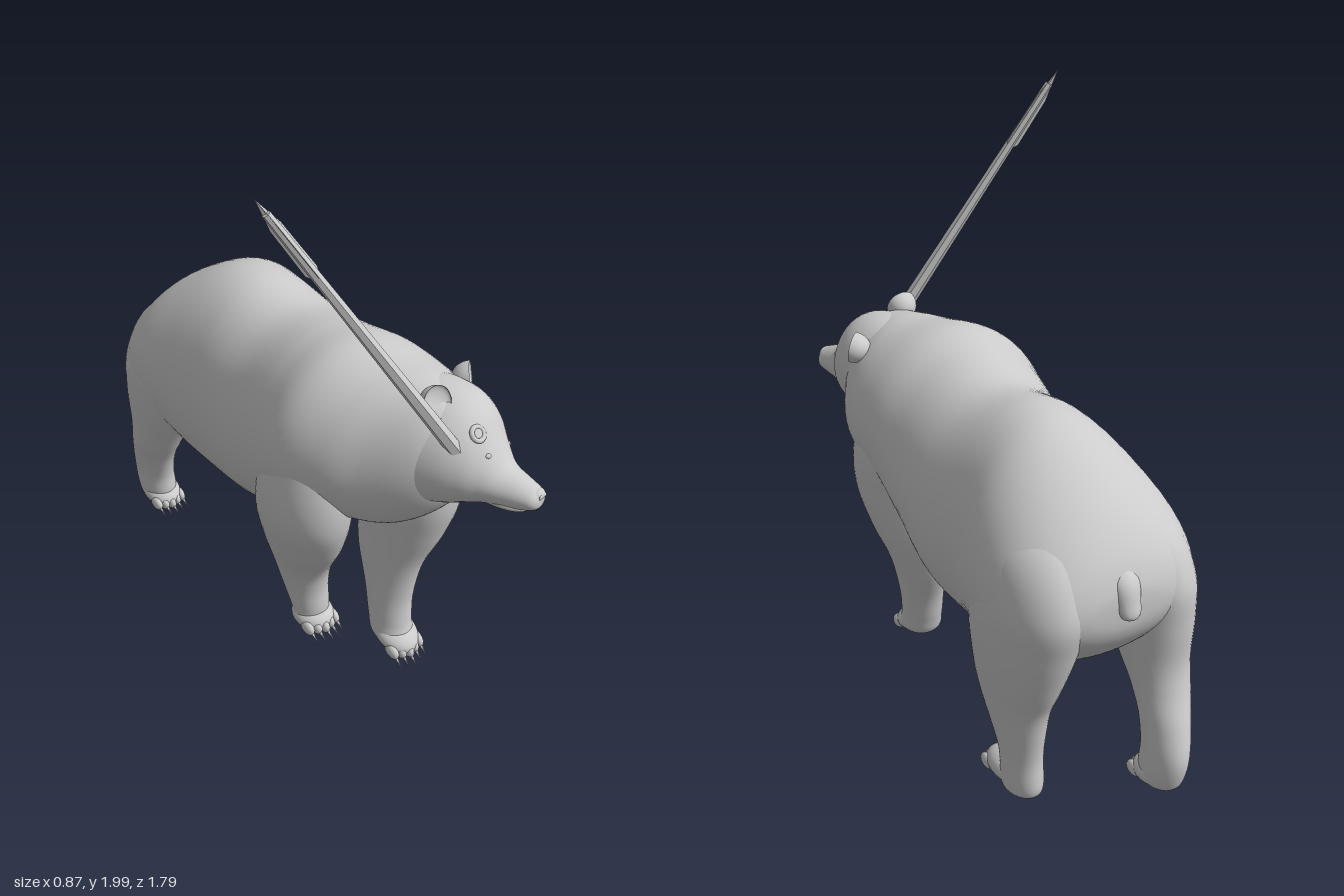
import * as THREE from 'three';

const grey = new THREE.MeshStandardMaterial({ color: 0xcccccc });
const greyThin = new THREE.MeshStandardMaterial({ color: 0xcccccc, side: THREE.DoubleSide });

function add(parent, name, geometry, material = grey) {
  const mesh = new THREE.Mesh(geometry, material);
  mesh.name = name;
  parent.add(mesh);
  return mesh;
}

// Smooth skin through oval sections [along, centreX, centreOther, radiusX, radiusOther].
// axis 'z': sections upright, listed back to front. axis 'y': sections flat, listed top to bottom.
function loft(sections, axis, egg = 0, rows = 60, cols = 48) {
  const curve = (f) => new THREE.CatmullRomCurve3(sections.map(f), false, 'catmullrom', 0.5);
  const centres = curve((s) => new THREE.Vector3(s[0], s[1], s[2]));
  const radii = curve((s) => new THREE.Vector3(s[3], s[4], 0));
  const pos = [], index = [];
  for (let i = 0; i <= rows; i++) {
    const c = centres.getPoint(i / rows), r = radii.getPoint(i / rows);
    for (let j = 0; j < cols; j++) {
      const a = (j / cols) * Math.PI * 2;
      const x = c.y + Math.max(r.x, 0.001) * Math.cos(a) * (1 - egg * Math.sin(a));
      const o = c.z + Math.max(r.y, 0.001) * Math.sin(a);
      if (axis === 'z') pos.push(x, o, c.x);
      else pos.push(x, c.x, o);
      if (i < rows) {
        const p = i * cols + j, q = i * cols + ((j + 1) % cols);
        index.push(p, q, p + cols, q, q + cols, p + cols);
      }
    }
  }
  const g = new THREE.BufferGeometry();
  g.setAttribute('position', new THREE.Float32BufferAttribute(pos, 3));
  g.setIndex(index);
  g.computeVertexNormals();
  return g;
}

// Same skin from extents [z, left, right, bottom, top]
const span = (list) => list.map(([z, a, b, c, d]) =>
  [z, (a + b) / 2, (c + d) / 2, (b - a) / 2, (d - c) / 2]);

function ball(parent, name, [x, y, z], [rx, ry, rz], seg = 20) {
  const mesh = add(parent, name, new THREE.SphereGeometry(1, seg, seg * 0.7 | 0).scale(rx, ry, rz));
  mesh.position.set(x, y, z);
  return mesh;
}

// Paw with five toes and claws, toes towards +z
function paw(parent, name, [x, y, z], w, l, pitch) {
  const g = new THREE.Group();
  g.name = name;
  g.position.set(x, y, z);
  g.rotation.x = pitch;
  ball(g, 'pad', [0, 0, 0], [w, 0.047, l], 28);
  for (let i = -2; i <= 2; i++) {
    const tx = i * w * 0.37, tz = l * 0.78 - Math.abs(i) * 0.009;
    ball(g, 'toe', [tx, -0.01, tz], [w * 0.24, 0.026, 0.036], 14);
    const claw = add(g, 'claw', new THREE.ConeGeometry(0.007, 0.05, 8));
    claw.position.set(tx, -0.02, tz + 0.045);
    claw.rotation.x = Math.PI / 2 + 0.35;
  }
  parent.add(g);
}

function buildHead() {
  const head = new THREE.Group();
  head.name = 'head';
  head.position.set(0.18, 1.05, 0.52);
  head.rotation.set(0, 0.35, -0.25, 'YXZ');
  add(head, 'skull', loft(span([
    [-0.21, -0.01, 0.01, -0.03, 0.01], [-0.18, -0.1, 0.1, -0.14, 0.11], [-0.1, -0.168, 0.168, -0.22, 0.16],
    [0, -0.18, 0.18, -0.235, 0.18], [0.1, -0.165, 0.165, -0.205, 0.168], [0.17, -0.135, 0.135, -0.178, 0.125],
    [0.22, -0.1, 0.1, -0.16, 0.055], [0.27, -0.073, 0.073, -0.15, -0.01], [0.33, -0.057, 0.057, -0.14, -0.038],
    [0.37, -0.047, 0.047, -0.128, -0.055], [0.387, -0.028, 0.028, -0.115, -0.07], [0.39, 0, 0, -0.095, -0.095],
  ]), 'z', 0.08));
  ball(head, 'lowerJaw', [0, -0.134, 0.26], [0.05, 0.024, 0.095]);
  ball(head, 'nose', [0, -0.075, 0.372], [0.029, 0.02, 0.021]);
  for (const s of [-1, 1]) {
    ball(head, 'eye', [s * 0.066, 0.012, 0.217], [0.013, 0.01, 0.012], 14);
    ball(head, 'nostril', [s * 0.015, -0.077, 0.388], [0.007, 0.008, 0.004], 10);
    // Cupped ear: the front half of a flattened ball is pushed inwards
    const shape = new THREE.SphereGeometry(1, 28, 20).scale(0.052, 0.052, 0.062);
    const p = shape.attributes.position;
    for (let i = 0; i < p.count; i++) if (p.getZ(i) > 0) p.setZ(i, p.getZ(i) * -0.3);
    shape.computeVertexNormals();
    const ear = add(head, 'ear', shape, greyThin);
    ear.position.set(s * 0.136, 0.147, 0.043 - s * 0.015);
    ear.rotation.set(-0.3, s * 0.4, -s * 0.5);
  }
  return head;
}

// Shaft with three thin vanes, driven into the forehead
function buildArrow() {
  const tip = new THREE.Vector3(-0.44, 2, 0.48), base = new THREE.Vector3(0.125, 1.09, 0.69);
  const length = tip.distanceTo(base);
  const arrow = new THREE.Group();
  arrow.name = 'arrow';
  arrow.position.copy(base);
  arrow.quaternion.setFromUnitVectors(new THREE.Vector3(0, 1, 0), tip.clone().sub(base).normalize());
  const shaft = new THREE.CylinderGeometry(0.013, 0.025, length * 0.95, 6).toNonIndexed();
  shaft.computeVertexNormals();
  add(arrow, 'shaft', shaft).position.y = length * 0.475;
  const vane = new THREE.Shape([[0, 0.7], [0.025, 0.74], [0.022, 0.9], [0, 1]]
    .map(([x, t]) => new THREE.Vector2(x, t * length)));
  for (let i = 0; i < 3; i++) {
    add(arrow, 'vane', new THREE.ShapeGeometry(vane), greyThin).rotation.y = (i * Math.PI * 2) / 3 + 0.4;
  }
  return arrow;
}

export function createModel() {
  const bear = new THREE.Group();
  bear.name = 'bear';

  // Trunk and neck
  add(bear, 'body', loft(span([
    [-0.832, 0.09, 0.11, 0.8, 0.82], [-0.822, -0.05, 0.24, 0.72, 0.875], [-0.785, -0.145, 0.33, 0.65, 0.955],
    [-0.71, -0.205, 0.39, 0.57, 1.045], [-0.6, -0.23, 0.425, 0.5, 1.13], [-0.45, -0.215, 0.425, 0.435, 1.213],
    [-0.3, -0.2, 0.405, 0.415, 1.235], [-0.1, -0.2, 0.42, 0.44, 1.205], [0.1, -0.22, 0.41, 0.53, 1.243],
    [0.25, -0.23, 0.415, 0.63, 1.27], [0.4, -0.17, 0.415, 0.68, 1.248], [0.5, -0.095, 0.385, 0.705, 1.237],
    [0.6, -0.01, 0.325, 0.8, 1.21], [0.65, 0.06, 0.27, 0.9, 1.14], [0.67, 0.16, 0.17, 1.02, 1.04],
  ]), 'z', 0.09, 90, 64));

  // Legs: [y, x, z, half width, half depth]; the tops lean in and fade into the trunk
  const legs = {
    frontLeftLeg: [[1.16, 0.22, 0.28, 0, 0], [1.02, 0.25, 0.29, 0.115, 0.14], [0.86, 0.268, 0.32, 0.143, 0.193],
      [0.7, 0.265, 0.335, 0.145, 0.195], [0.55, 0.25, 0.315, 0.124, 0.18], [0.4, 0.222, 0.3, 0.095, 0.14],
      [0.25, 0.205, 0.32, 0.076, 0.098], [0.14, 0.197, 0.34, 0.07, 0.085], [0.07, 0.195, 0.36, 0.066, 0.075],
      [0.045, 0.195, 0.36, 0, 0]],
    frontRightLeg: [[1.16, -0.01, 0.23, 0, 0], [1.02, -0.055, 0.235, 0.115, 0.13], [0.86, -0.095, 0.245, 0.135, 0.18],
      [0.7, -0.108, 0.24, 0.139, 0.187], [0.55, -0.085, 0.205, 0.12, 0.165], [0.4, -0.055, 0.165, 0.095, 0.115],
      [0.3, -0.045, 0.165, 0.078, 0.088], [0.2, -0.037, 0.185, 0.066, 0.068], [0.15, -0.035, 0.19, 0.06, 0.055],
      [0.12, -0.035, 0.19, 0, 0]],
    hindLeftLeg: [[1.08, 0.22, -0.55, 0, 0], [0.96, 0.25, -0.56, 0.125, 0.18], [0.8, 0.28, -0.58, 0.146, 0.24],
      [0.65, 0.293, -0.56, 0.138, 0.235], [0.5, 0.305, -0.545, 0.112, 0.2], [0.4, 0.31, -0.538, 0.092, 0.164],
      [0.3, 0.312, -0.558, 0.075, 0.125], [0.2, 0.312, -0.58, 0.062, 0.092], [0.1, 0.312, -0.588, 0.06, 0.088],
      [0.065, 0.312, -0.582, 0.05, 0.07], [0.055, 0.312, -0.58, 0, 0]],
    hindRightLeg: [[1.08, -0.02, -0.56, 0, 0], [0.96, -0.045, -0.57, 0.125, 0.18], [0.8, -0.085, -0.6, 0.142, 0.22],
      [0.65, -0.1, -0.635, 0.13, 0.182], [0.5, -0.105, -0.675, 0.107, 0.128], [0.4, -0.108, -0.712, 0.09, 0.107],
      [0.3, -0.098, -0.76, 0.074, 0.098], [0.2, -0.085, -0.79, 0.066, 0.096], [0.12, -0.08, -0.785, 0.066, 0.09],
      [0.07, -0.08, -0.775, 0.052, 0.07], [0.055, -0.08, -0.77, 0, 0]],
  };
  for (const [name, sections] of Object.entries(legs)) add(bear, name, loft(sections, 'y'));

  paw(bear, 'frontLeftPaw', [0.195, 0.082, 0.38], 0.074, 0.094, 0.35);
  paw(bear, 'frontRightPaw', [-0.035, 0.16, 0.2], 0.072, 0.08, 0.1);
  paw(bear, 'hindLeftPaw', [0.312, 0.097, -0.515], 0.063, 0.112, 0.12);
  paw(bear, 'hindRightPaw', [-0.078, 0.097, -0.76], 0.069, 0.088, 0.12);

  // Stubby tail
  add(bear, 'tail', loft([[0.95, 0.1, -0.76, 0, 0], [0.89, 0.1, -0.795, 0.042, 0.036],
    [0.82, 0.1, -0.824, 0.038, 0.03], [0.78, 0.1, -0.835, 0.029, 0.023], [0.765, 0.1, -0.834, 0, 0]], 'y', 0, 24, 20));

  bear.add(buildHead(), buildArrow());

  // Torn ring of skin beside the arrow
  const wound = add(bear, 'wound', new THREE.TorusGeometry(0.022, 0.008, 10, 24));
  wound.position.set(0.185, 1.142, 0.709);
  wound.rotation.set(-0.75, 0.1, 0);
  return bear;
}
